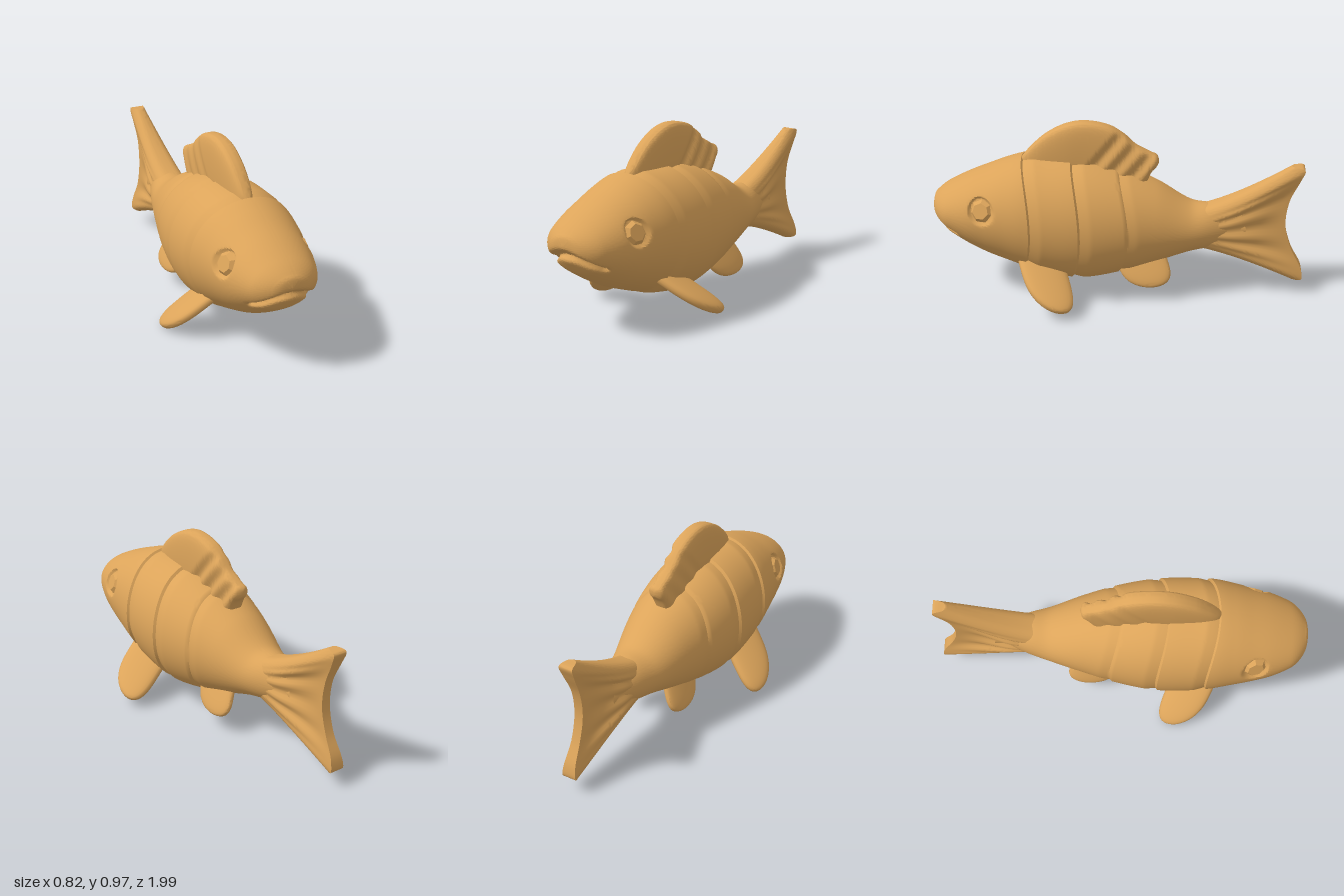
import * as THREE from 'three';
import { toCreasedNormals } from 'three/addons/utils/BufferGeometryUtils.js';

const MID = -0.02; // the body sits slightly right of the centre line
const { lerp, smoothstep, clamp } = THREE.MathUtils;

// Stations along the fish: [z, top y, bottom y, half width]
const BODY = [
  [1, 0.5, 0.475, 0], [0.992, 0.54, 0.435, 0.065], [0.975, 0.56, 0.405, 0.11], [0.94, 0.588, 0.368, 0.157],
  [0.9, 0.612, 0.338, 0.187], [0.8, 0.662, 0.275, 0.228], [0.7, 0.705, 0.222, 0.252], [0.6, 0.745, 0.182, 0.272],
  [0.5, 0.773, 0.145, 0.29], [0.4, 0.775, 0.112, 0.298], [0.2, 0.765, 0.085, 0.296], [0, 0.715, 0.122, 0.264],
  [-0.2, 0.635, 0.185, 0.208], [-0.38, 0.53, 0.25, 0.15], [-0.5, 0.515, 0.275, 0.11], [-0.62, 0.47, 0.32, 0.06],
];
const DORSAL = [
  [0.53, 0.75, 0.6, 0.01], [0.5, 0.79, 0.6, 0.035], [0.45, 0.845, 0.6, 0.048], [0.38, 0.905, 0.6, 0.055],
  [0.28, 0.957, 0.6, 0.06], [0.18, 0.975, 0.6, 0.06], [0.06, 0.955, 0.58, 0.06], [-0.02, 0.91, 0.56, 0.058],
  [-0.08, 0.855, 0.55, 0.055], [-0.13, 0.825, 0.6, 0.052], [-0.17, 0.805, 0.7, 0.048], [-0.2, 0.79, 0.735, 0.035],
  [-0.21, 0.772, 0.755, 0],
];
const GROOVES = [0.51, 0.25, 0.01];

// Smooth interpolation through the stations
function station(table, z) {
  const n = table.length - 1;
  let i = 0;
  while (i < n - 1 && z < table[i + 1][0]) i++;
  const a = table[i], b = table[i + 1], p = table[Math.max(i - 1, 0)], q = table[Math.min(i + 2, n)];
  const h = b[0] - a[0];
  const t = clamp((z - a[0]) / h, 0, 1), t2 = t * t, t3 = t2 * t;
  return [1, 2, 3].map((k) => {
    const ma = ((b[k] - p[k]) / (b[0] - p[0])) * h, mb = ((q[k] - a[k]) / (q[0] - a[0])) * h;
    return (2 * t3 - 3 * t2 + 1) * a[k] + (t3 - 2 * t2 + t) * ma + (3 * t2 - 2 * t3) * b[k] + (t3 - t2) * mb;
  });
}

// Skin of closed rings: point(u, angle) gives each corner
function loft(point, rings, sides, crease = 0.7) {
  const pos = [], index = [];
  for (let i = 0; i <= rings; i++) {
    for (let j = 0; j < sides; j++) pos.push(...point(i / rings, (j / sides) * Math.PI * 2));
  }
  for (let i = 0; i < rings; i++) {
    for (let j = 0; j < sides; j++) {
      const a = i * sides + j, b = i * sides + ((j + 1) % sides), c = a + sides, d = b + sides;
      index.push(a, c, b, b, c, d);
    }
  }
  const geo = new THREE.BufferGeometry();
  geo.setAttribute('position', new THREE.Float32BufferAttribute(pos, 3));
  geo.setIndex(index);
  return toCreasedNormals(geo, crease);
}

const power = (v, e) => Math.sign(v) * Math.pow(Math.abs(v), e);

// Body with overlapping plates, a downturned mouth and shallow eye sockets
function bodyPoint(u, a) {
  const c = Math.cos(a), s = Math.sin(a);
  const along = 1 - 1.62 * Math.pow(u, 1.45);
  let z = along - 0.06 * c * c * (1 - smoothstep(along, 0.6, 0.9));
  const [top, bottom, w] = station(BODY, z);
  let scale = 1;
  for (const g of GROOVES) {
    const d = g - along;
    if (d > 0 && d < 0.06) scale -= 0.04 * (1 - d / 0.06);
  }
  let x = c * w * scale;
  const y = (top + bottom) / 2 + (s * (top - bottom) * scale) / 2;
  if (z > 0.84 && Math.abs(x) < 0.2) {
    const d = y - (0.457 - 2.9 * x * x);
    const cut = Math.exp(-Math.pow(d / 0.02, 2)) * smoothstep(z, 0.84, 0.9);
    z -= 0.04 * cut + 0.014 * smoothstep(-d, -0.01, 0.02) * smoothstep(z, 0.9, 0.98);
    x *= 1 - 0.08 * cut;
  }
  const eye = Math.hypot(z - 0.712, y - 0.543);
  x -= Math.sign(x) * 0.022 * (1 - smoothstep(eye, 0.055, 0.075));
  return [x + MID, y, z];
}

// Dorsal fin, its rear fluted by rays, deeper on the left face
function dorsalPoint(u, a) {
  const z = 0.53 - 0.74 * u;
  const [top, bottom, w] = station(DORSAL, z);
  const y = (top + bottom) / 2 + (Math.sin(a) * (top - bottom)) / 2;
  let x = power(Math.cos(a), 0.45) * w;
  const ray = 0.18 - z - 0.8 * (y - 0.75);
  if (ray > 0) x *= 1 - (x > 0 ? 0.35 : 0.12) * Math.pow(Math.sin(ray * 26), 2);
  return [x + MID, y, z];
}

// Forked tail fin with blunt lobes, hollowed and ridged towards the notch
const tailEdge = new THREE.CatmullRomCurve3([
  [0.09, -0.93], [0.095, -0.99], [0.16, -0.985], [0.28, -0.925], [0.42, -0.89],
  [0.56, -0.905], [0.68, -0.955], [0.745, -0.975], [0.755, -0.91],
].map(([y, z]) => new THREE.Vector3(0, y, z)));

function tailPoint(u, a) {
  const v = Math.sin(a), k = Math.min(u / 0.96, 1);
  const end = tailEdge.getPoint((v + 1) / 2);
  const z = lerp(-0.4, end.z, k);
  const y = lerp(0.39 + 0.11 * v, end.y, Math.pow(k, 1.35));
  const middle = 1 - smoothstep(Math.abs(v), 0.2, 0.8);
  let t = lerp(0.095, 0.05, k * k) * (1 - 0.5 * middle * smoothstep(k, 0.35, 0.95));
  t *= 1 - 0.25 * middle * Math.sin(Math.PI * k) * k * (1 + Math.cos(v * 20));
  if (u > 0.96) t *= Math.sqrt(Math.max(0, (1 - u) / 0.04));
  return [power(Math.cos(a), 0.6) * t - 0.017, y, z];
}

// Paddle-shaped fin from root to tip, with a chord direction across it
function paddle(root, tip, chordDir, halfChord, halfThick) {
  const from = new THREE.Vector3(...root), to = new THREE.Vector3(...tip);
  const dir = to.clone().sub(from).normalize();
  const chord = new THREE.Vector3(...chordDir).normalize();
  const normal = dir.clone().cross(chord).normalize();
  return loft((u, a) => {
    const k = Math.sin((u * Math.PI) / 2);
    const end = Math.sqrt(Math.max(0, 1 - Math.pow(k, 4)));
    return from.clone().lerp(to, k)
      .addScaledVector(chord, Math.sin(a) * halfChord * end)
      .addScaledVector(normal, power(Math.cos(a), 0.7) * halfThick * Math.pow(end, 0.6)).toArray();
  }, 16, 28);
}

export function createModel() {
  const ochre = new THREE.MeshStandardMaterial({ color: 0xdca45a });
  ochre.name = 'ochre';
  const fish = new THREE.Group();
  fish.name = 'fish';
  const add = (name, geometry) => {
    const mesh = new THREE.Mesh(geometry, ochre);
    mesh.name = name;
    fish.add(mesh);
    return mesh;
  };

  add('body', loft(bodyPoint, 180, 160));
  add('dorsalFin', loft(dorsalPoint, 90, 96));
  add('tailFin', loft(tailPoint, 50, 120));

  for (const side of [1, -1]) {
    const label = side > 0 ? 'left' : 'right';
    const drop = side > 0 ? 0 : 0.046; // the right pectoral hangs lower
    add(label + 'PectoralFin', paddle(
      [MID + side * 0.19, 0.215, 0.4], [side * 0.405, 0.07 - drop, 0.31], [0, 0.3, 0.95], 0.138, 0.036));
    add(label + 'PelvicFin', paddle(
      [MID + side * 0.09, 0.24, -0.12], [MID + side * 0.17, 0.09, -0.18], [0, -0.06, 1], 0.138, 0.03));

    // Seven-sided eye set in its socket
    const eye = add(label + 'Eye', new THREE.CylinderGeometry(0.044, 0.064, 0.022, 7).toNonIndexed());
    eye.geometry.computeVertexNormals();
    eye.position.set(MID + side * 0.219, 0.543, 0.712);
    eye.quaternion.setFromUnitVectors(
      new THREE.Vector3(0, 1, 0), new THREE.Vector3(side, 0.36, 0.25).normalize());
  }
  return fish;
}
